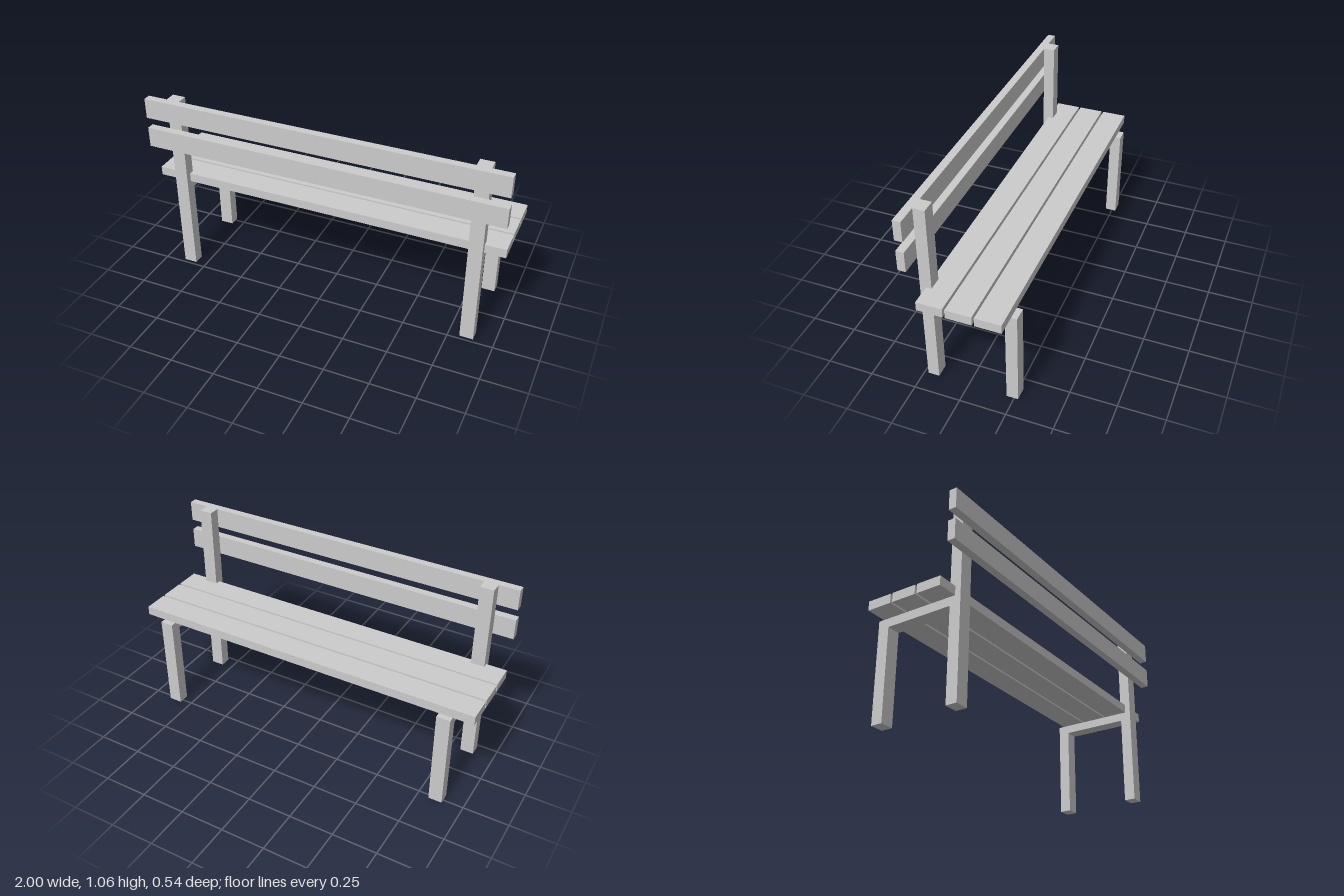
import * as THREE from 'three';

const material = new THREE.MeshStandardMaterial({ color: 0xcccccc, flatShading: true });

// Box given by its limits in y and z, centred at x
function bar(name, x, width, [y0, y1], [z0, z1]) {
  const mesh = new THREE.Mesh(new THREE.BoxGeometry(width, y1 - y0, z1 - z0), material);
  mesh.name = name;
  mesh.position.set(x, (y0 + y1) / 2, (z0 + z1) / 2);
  return mesh;
}

export function createModel() {
  const bench = new THREE.Group();
  bench.name = 'bench';

  // Two end frames: tall back post, short leg and the rail joining them
  for (const [side, x] of [['left', 0.85], ['right', -0.85]]) {
    const frame = new THREE.Group();
    frame.name = `${side}Frame`;
    frame.add(
      bar('backPost', x, 0.075, [0, 1.064], [0.167, 0.229]),
      bar('seatLeg', x, 0.075, [0, 0.551], [-0.272, -0.209]),
      bar('seatRail', x, 0.075, [0.503, 0.551], [-0.209, 0.167])
    );
    bench.add(frame);
  }

  // Three seat planks with narrow gaps
  for (let i = 0; i < 3; i++) {
    const z = -0.241 + i * 0.15;
    bench.add(bar('seatPlank', 0, 2, [0.551, 0.601], [z, z + 0.138]));
  }

  // Two backrest boards fixed to the outer face of the posts
  for (const y of [0.777, 0.951]) {
    bench.add(bar('backrestBoard', 0, 2, [y, y + 0.113], [0.229, 0.272]));
  }

  return bench;
}
